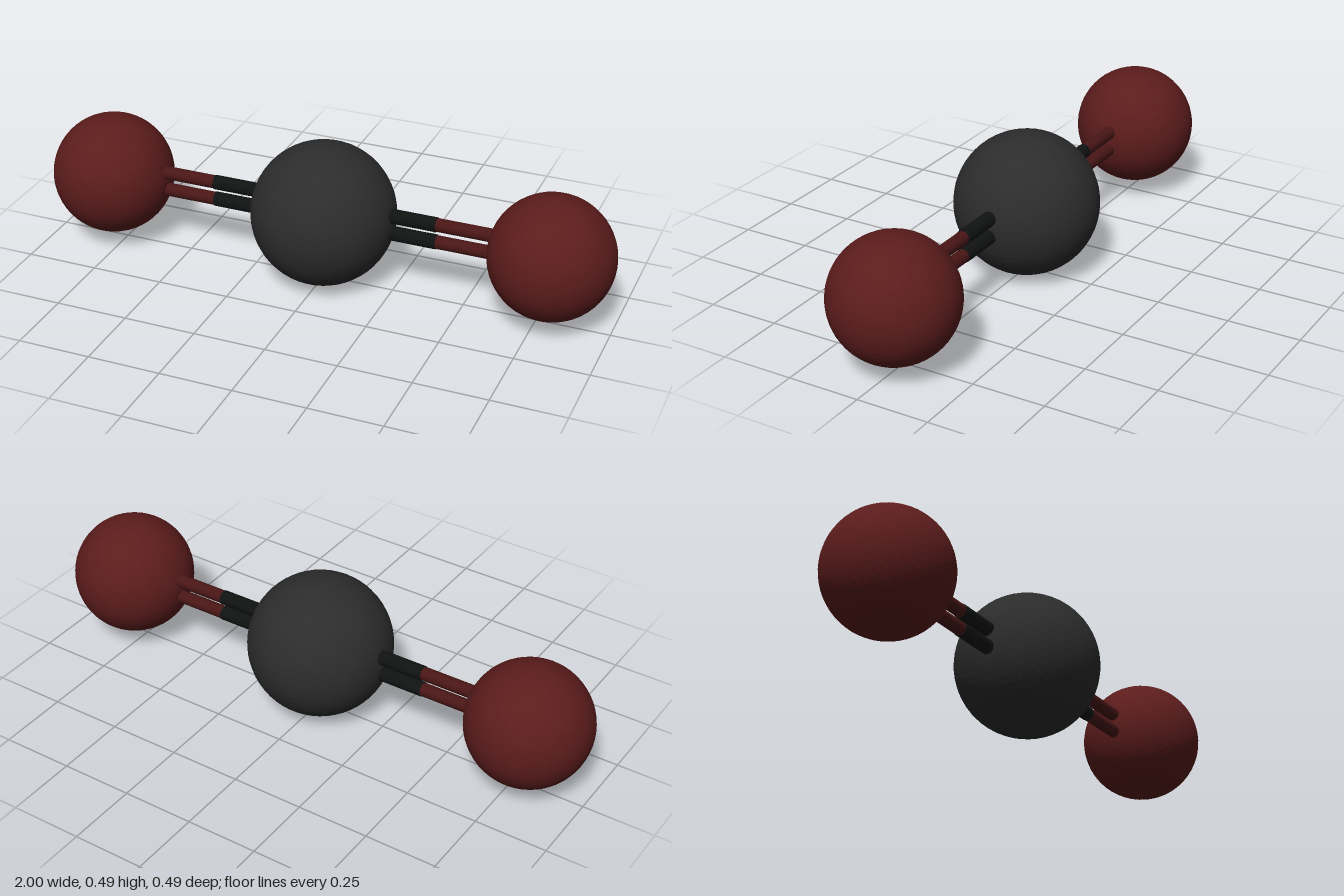
import * as THREE from 'three';

const CENTRE_Y = 0.248;

const material = (color, flatShading = false) => {
  const m = new THREE.MeshStandardMaterial({ flatShading });
  m.color.set(color);
  return m;
};

export function createModel() {
  const model = new THREE.Group();
  model.name = 'ballAndStickMolecule';

  const charcoal = material(0x2c2c2c, true);
  const red = material(0x5c1c1c, true);
  const darkBond = material(0x111313);
  const redBond = material(0x4a1616);

  // Finely faceted ball
  function addBall(name, x, radius, mat) {
    const ball = new THREE.Mesh(new THREE.IcosahedronGeometry(radius, 9), mat);
    ball.name = name;
    ball.position.set(x, CENTRE_Y, 0);
    model.add(ball);
  }

  // Horizontal rod between two x positions
  function addRod(name, x0, x1, y, radius, mat) {
    const geometry = new THREE.CylinderGeometry(radius, radius, Math.abs(x1 - x0), 16);
    geometry.rotateZ(Math.PI / 2);
    const rod = new THREE.Mesh(geometry, mat);
    rod.name = name;
    rod.position.set((x0 + x1) / 2, y, 0);
    model.add(rod);
  }

  addBall('centreAtom', 0, 0.246, charcoal);

  for (const [side, s] of [['left', 1], ['right', -1]]) {
    addBall(`${side}OuterAtom`, s * 0.79, 0.21, red);

    // Double bond: two parallel rods, each dark inside and red outside
    for (const [level, y] of [['Upper', 0.284], ['Lower', 0.22]]) {
      addRod(`${side}${level}InnerBond`, s * 0.15, s * 0.4, y, 0.025, darkBond);
      addRod(`${side}${level}OuterBond`, s * 0.4, s * 0.65, y, 0.023, redBond);
    }
  }

  return model;
}
